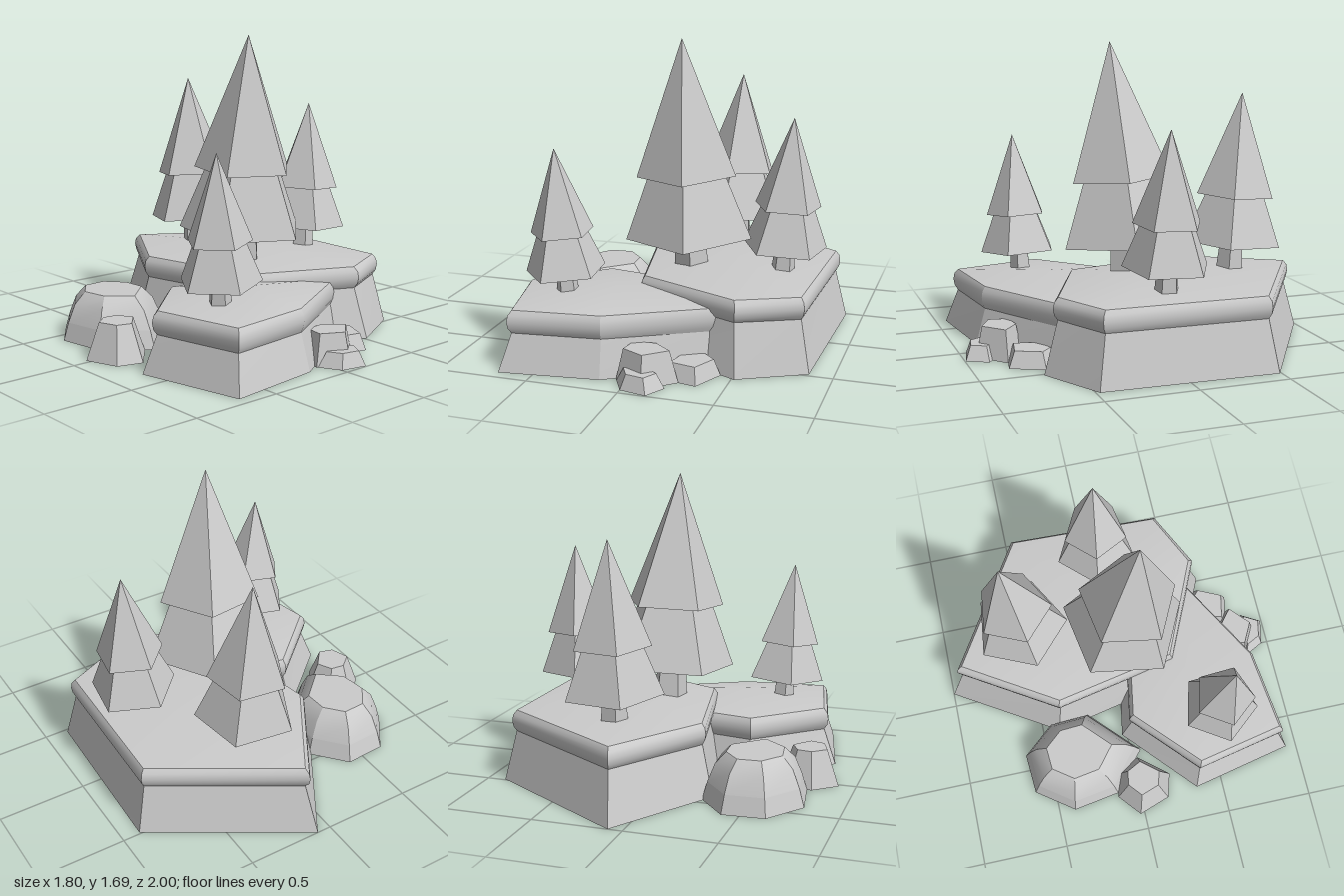
import * as THREE from 'three';
import { mergeGeometries } from 'three/addons/utils/BufferGeometryUtils.js';

const flat = new THREE.MeshStandardMaterial({ color: 0xcccccc, flatShading: true });
const smooth = new THREE.MeshStandardMaterial({ color: 0xcccccc });

function indexed(points, index) {
  const g = new THREE.BufferGeometry();
  g.setAttribute('position', new THREE.Float32BufferAttribute(points.flat(), 3));
  g.setIndex(index);
  g.computeVertexNormals();
  return g;
}

// Wall through stacked rings: smooth up each side, creased at the corners
function wall(rings) {
  const n = rings[0].length;
  const sides = rings[0].map((_, i) => {
    const points = [], index = [];
    rings.forEach((ring, k) => {
      points.push(ring[i], ring[(i + 1) % n]);
      if (k > 0) {
        const a = 2 * k - 2, b = a + 1, a2 = a + 2, b2 = a + 3;
        index.push(b, a, a2, b, a2, b2);
      }
    });
    return indexed(points, index);
  });
  return mergeGeometries(sides);
}

// Fan from a centre point to a ring
function cap(ring, centre, up) {
  const n = ring.length, index = [];
  for (let i = 0; i < n; i++) {
    const a = i + 1, b = ((i + 1) % n) + 1;
    index.push(0, ...(up ? [b, a] : [a, b]));
  }
  return indexed([centre, ...ring], index);
}

function centroid(outline) {
  const n = outline.length;
  return [0, 1].map((k) => outline.reduce((s, p) => s + p[k], 0) / n);
}

// Outline blended from the base to the top, at a height
const ringAt = (base, top, t, y) => base.map(([x, z], i) =>
  [x + (top[i][0] - x) * t, y, z + (top[i][1] - z) * t]);

// Plateau: sloping cliff, rounded rim and a gently domed top
function plateau(name, base, top, y0, y1, apex) {
  const h = y1 - y0;
  const levels = [[0, 0], [0.95, y0], [0.72, y0 + 0.22 * h], [0.64, y0 + 0.5 * h],
    [0.72, y0 + 0.78 * h], [1, y1]];
  const rings = levels.map(([t, y]) => ringAt(base, top, t, y));
  const [cx, cz] = centroid(base);
  const geometry = mergeGeometries([
    wall(rings.slice(0, 2)), wall(rings.slice(1)),
    cap(rings[5], apex, true), cap(rings[0], [cx, 0, cz], false),
  ]);
  const mesh = new THREE.Mesh(geometry, smooth);
  mesh.name = name;
  return mesh;
}

// Rock: irregular outline shrinking upward; the first band stays a hard facet
function rock(name, base, profile) {
  const [cx, cz] = centroid(base);
  const centre = base.map(() => [cx, cz]);
  const rings = profile.map(([scale, y]) => ringAt(base, centre, 1 - scale, y));
  const last = rings[rings.length - 1];
  const parts = [wall(rings.slice(0, 2)),
    cap(last, [cx, last[0][1], cz], true), cap(rings[0], [cx, 0, cz], false)];
  if (rings.length > 2) parts.push(wall(rings.slice(1)));
  const mesh = new THREE.Mesh(mergeGeometries(parts), smooth);
  mesh.name = name;
  return mesh;
}

// Two-tier pentagonal pine, leaning from the centre of its lowest tier to its tip
function pine(name, foot, tip, spin) {
  const tree = new THREE.Group();
  tree.name = name;
  const from = new THREE.Vector3(...foot);
  const axis = new THREE.Vector3(...tip).sub(from);
  const H = axis.length();
  const tier = (label, rTop, rBottom, yBottom, yTop) => {
    const g = new THREE.CylinderGeometry(rTop * H, rBottom * H, (yTop - yBottom) * H, 5, 1, false, spin);
    g.translate(0, (yTop + yBottom) / 2 * H, 0);
    const mesh = new THREE.Mesh(g, flat);
    mesh.name = label;
    tree.add(mesh);
  };
  tier('trunk', 0.075, 0.095, -0.22, 0.05);
  tier('lowerBranches', 0.2, 0.333, 0, 0.33);
  tier('upperBranches', 0, 0.262, 0.32, 1);
  tree.position.copy(from);
  tree.quaternion.setFromUnitVectors(new THREE.Vector3(0, 1, 0), axis.normalize());
  return tree;
}

export function createModel() {
  const model = new THREE.Group();
  model.name = 'forestPlateau';

  // Ground
  model.add(plateau('highPlateau',
    [[0.08, -1], [0.9, -0.49], [0.87, 0.48], [0.515, 0.665], [-0.13, 0.37], [-0.29, -0.4]],
    [[0.11, -0.9], [0.835, -0.45], [0.81, 0.43], [0.49, 0.58], [-0.08, 0.33], [-0.22, -0.37]],
    0.28, 0.4, [0.33, 0.455, -0.05]));
  model.add(plateau('lowPlateau',
    [[-0.4, -0.03], [0.1, 0.06], [0.45, 0.527], [-0.145, 0.875], [-0.685, 0.94], [-0.815, 0.345]],
    [[-0.38, 0.04], [0.08, 0.12], [0.43, 0.49], [-0.155, 0.815], [-0.63, 0.87], [-0.735, 0.37]],
    0.2, 0.325, [-0.2, 0.38, 0.45]));

  // Trees
  model.add(pine('tallPine', [0.107, 0.595, 0.085], [0.075, 1.685, 0.155], 0.175));
  model.add(pine('backPine', [0.235, 0.565, -0.509], [0.235, 1.4, -0.565], -0.125));
  model.add(pine('rightPine', [0.63, 0.54, 0.031], [0.67, 1.265, 0.03], -0.46));
  model.add(pine('smallPine', [-0.461, 0.455, 0.534], [-0.505, 1.13, 0.56], -0.24));

  // Rocks
  model.add(rock('boulder',
    [[-0.64, -0.62], [-0.405, -0.635], [-0.245, -0.45], [-0.23, -0.21], [-0.515, 0.06],
      [-0.75, -0.13], [-0.795, -0.405]],
    [[1, 0], [0.9, 0.1], [0.76, 0.2], [0.55, 0.265]]));
  model.add(rock('sideRock',
    [[-0.775, -0.135], [-0.635, -0.115], [-0.56, 0.03], [-0.7, 0.2], [-0.84, 0.16], [-0.905, -0.025]],
    [[1, 0], [0.58, 0.2]]));
  model.add(rock('frontRock',
    [[-0.04, 0.7], [0.12, 0.68], [0.255, 0.79], [0.1, 0.93], [-0.065, 0.845]],
    [[1, 0], [0.74, 0.17]]));
  model.add(rock('frontStepRock',
    [[0.1, 0.8], [0.21, 0.88], [0.145, 0.995], [0, 0.965], [-0.06, 0.85]],
    [[1, 0], [0.68, 0.08]]));
  model.add(rock('lowRock',
    [[0.2, 0.6], [0.35, 0.55], [0.435, 0.63], [0.35, 0.81], [0.16, 0.77]],
    [[1, 0], [0.75, 0.09]]));
  return model;
}
